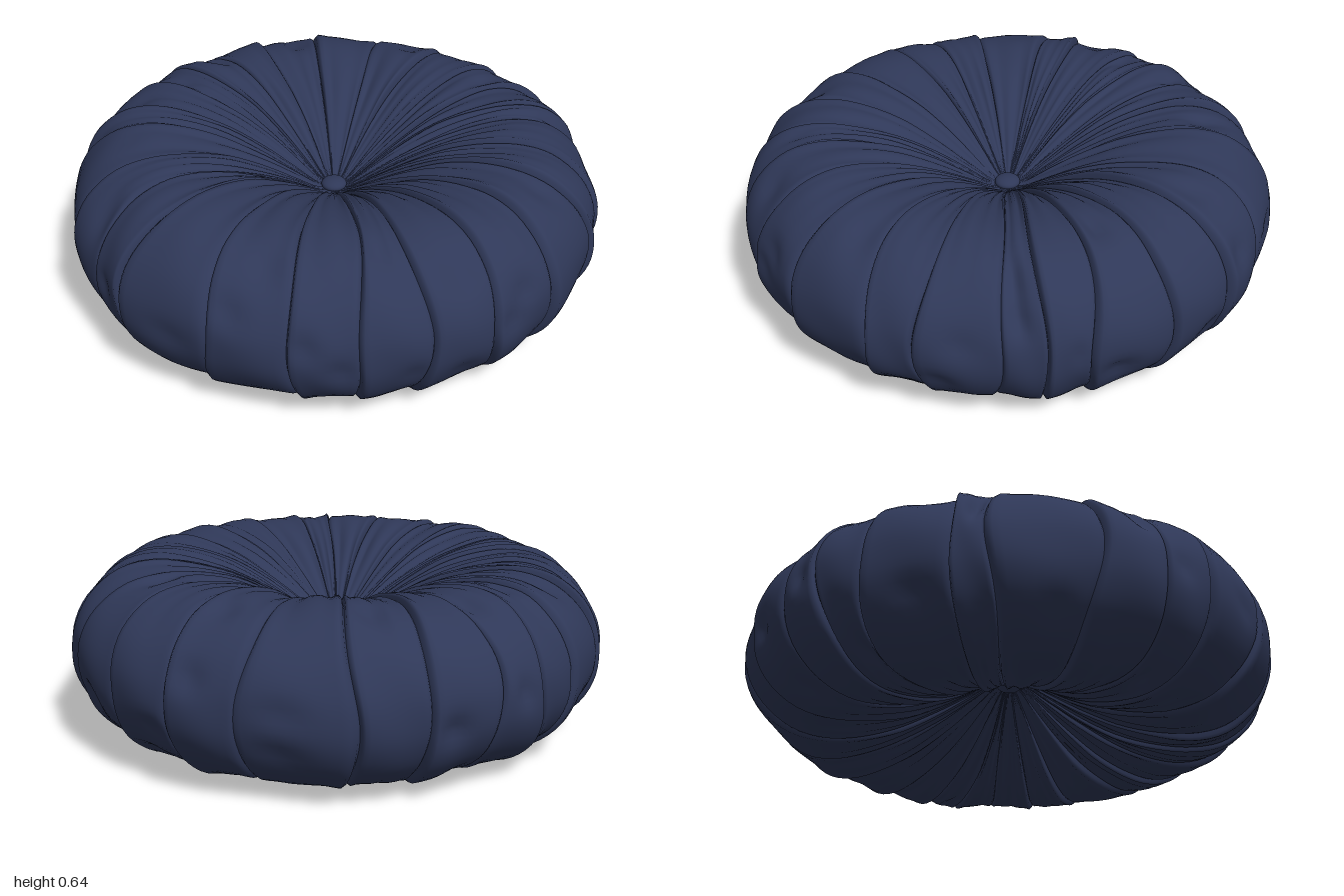
import * as THREE from 'three';

const MID = 0.322;
// pleat seam directions in degrees, measured from +x towards +z
const SEAMS = [-94, -73, -57, -39, -24, -13, -4, 11, 24, 43, 58, 75, 87, 101, 120, 139, 151, 166, 186, 195, 213, 223, 236, 250];

function seeded(seed) {
  return () => {
    seed = (seed * 16807) % 2147483647;
    return seed / 2147483647;
  };
}

// cross-section from the top button, round the rim, to the bottom button
function makeProfile() {
  const top = [[0.02, 0.05], [0.07, 0.06], [0.16, 0.115], [0.28, 0.185], [0.42, 0.25], [0.56, 0.288],
    [0.69, 0.298], [0.81, 0.268], [0.91, 0.19], [0.965, 0.095]];
  const points = [...top, [0.98, 0], ...top.slice().reverse().map(([r, y]) => [r, -y])];
  return new THREE.SplineCurve(points.map(([r, y]) => new THREE.Vector2(r, y)));
}

// seams wander slightly along their length
function seamAngle(k, t) {
  const n = SEAMS.length;
  const turn = Math.floor(k / n) * Math.PI * 2;
  const id = k % n;
  return THREE.MathUtils.degToRad(SEAMS[id]) + turn
    + (0.022 * Math.sin(t * 9 + id * 2.3) + 0.012 * Math.sin(t * 21 + id * 4.1)) * Math.sin(Math.PI * t);
}

// one puffed strip of cloth between two seams
function pleatGeometry(profile, k, random) {
  const across = [0, 0.025, 0.07, 0.14, 0.22, 0.31, 0.4, 0.5, 0.6, 0.69, 0.78, 0.86, 0.93, 0.975, 1];
  const rows = 72;
  const cols = across.length;
  const flip = random() < 0.35;
  const lift = 0.013 + 0.01 * random();
  const folds = 2 + Math.floor(random() * 2);
  const phase = random() * 6;
  const dents = [0, 1].map(() => ({
    u: 0.2 + 0.6 * random(), t: 0.3 + 0.4 * random(), depth: 0.008 + 0.016 * random(),
  }));
  const positions = [];
  const index = [];
  for (let i = 0; i <= rows; i++) {
    const t = i / rows;
    const p = profile.getPoint(t);
    const tangent = profile.getTangent(t);
    const a0 = seamAngle(k, t);
    const a1 = seamAngle(k + 1, t);
    const fade = Math.min(1, p.x / 0.4);
    const inner = THREE.MathUtils.clamp((0.92 - p.x) / 0.5, 0, 1);
    for (let j = 0; j < cols; j++) {
      const u = across[j];
      const v = flip ? 1 - u : u;
      // each strip rises slowly, then tucks sharply under at its high edge
      const edge = Math.min(1, Math.min(u, 1 - u) / 0.06);
      let h = -0.014 + Math.sqrt(edge) * (0.012 + lift * v);
      // small gathers that die out towards the rim
      const bend = u + 0.06 * Math.sin(t * 8 + phase) * u * (1 - u);
      h -= 0.011 * inner * edge * Math.pow(Math.abs(Math.cos(Math.PI * folds * (bend - 0.5 / folds))), 5);
      h += 0.004 * Math.sin(t * 26 + u * 5 + phase) * edge;
      for (const d of dents) {
        h -= d.depth * edge * Math.exp(-(((u - d.u) / 0.2) ** 2) - ((t - d.t) / 0.025) ** 2);
      }
      h *= fade;
      const r = p.x - tangent.y * h;
      const y = MID + p.y + tangent.x * h;
      const a = a0 + (a1 - a0) * u;
      positions.push(r * Math.cos(a), y, r * Math.sin(a));
      if (i < rows && j < cols - 1) {
        const q = i * cols + j;
        index.push(q, q + 1, q + cols, q + 1, q + cols + 1, q + cols);
      }
    }
  }
  const geometry = new THREE.BufferGeometry();
  geometry.setAttribute('position', new THREE.Float32BufferAttribute(positions, 3));
  geometry.setIndex(index);
  geometry.computeVertexNormals();
  return geometry;
}

export function createModel() {
  const model = new THREE.Group();
  model.name = 'pleatedCushion';
  const navy = new THREE.MeshStandardMaterial({ color: 0x2f3858 });
  navy.name = 'navyFabric';

  // ring of pleats
  const cover = new THREE.Group();
  cover.name = 'pleatedCover';
  const profile = makeProfile();
  const random = seeded(4127);
  SEAMS.forEach((_, k) => {
    const pleat = new THREE.Mesh(pleatGeometry(profile, k, random), navy);
    pleat.name = 'pleat' + (k + 1);
    cover.add(pleat);
  });
  model.add(cover);

  // covered buttons pulling the middle in
  for (const [name, side] of [['topButton', 1], ['bottomButton', -1]]) {
    const button = new THREE.Mesh(new THREE.SphereGeometry(0.048, 24, 16), navy);
    button.name = name;
    button.scale.y = 0.5;
    button.position.y = MID + side * 0.06;
    model.add(button);
  }
  return model;
}
